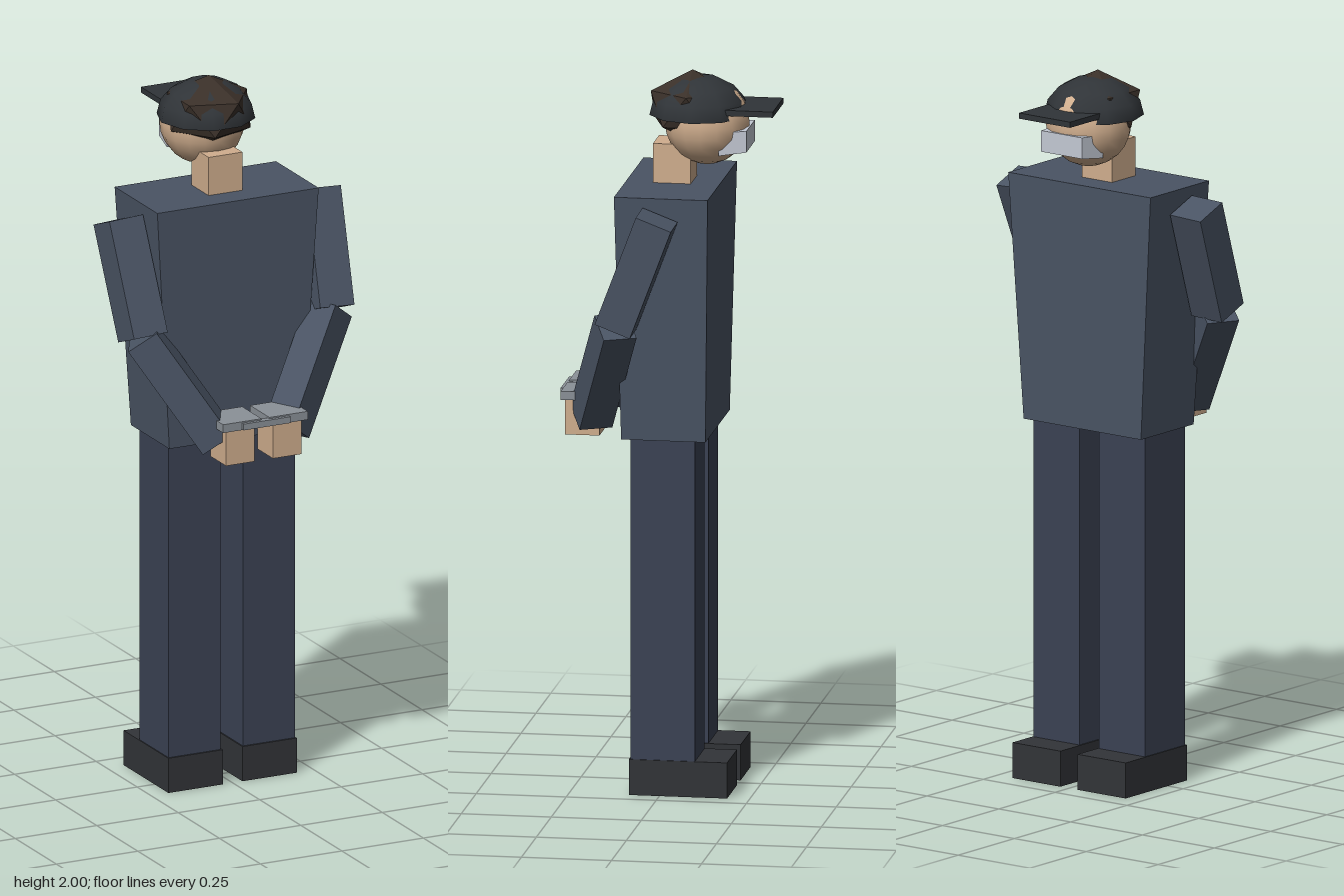
import * as THREE from 'three';

const mat = (color, flatShading = true) => new THREE.MeshStandardMaterial({ color, flatShading });
const JACKET = mat(0x4a5464), TROUSERS = mat(0x3b4254), SHOE = mat(0x323438), SKIN = mat(0xd0ae8e);
const SKIN_SMOOTH = mat(0xd0ae8e, false), CAP = mat(0x303438, false), BRIM = mat(0x303438);
const HAIR = mat(0x3a3029), STEEL = mat(0x8b9198), MASK = mat(0xc4c9d4);

export function createModel() {
  const model = new THREE.Group();
  model.name = 'standingMan';

  const add = (name, geometry, material, x = 0, y = 0, z = 0) => {
    const mesh = new THREE.Mesh(geometry, material);
    mesh.name = name;
    mesh.position.set(x, y, z);
    model.add(mesh);
    return mesh;
  };

  // Box given by its extents on each axis
  const block = (name, material, [x0, x1], [y0, y1], [z0, z1]) =>
    add(name, new THREE.BoxGeometry(x1 - x0, y1 - y0, z1 - z0), material,
      (x0 + x1) / 2, (y0 + y1) / 2, (z0 + z1) / 2);

  // Square beam from a to b, its width kept along the hint direction
  const limb = (name, a, b, size, hint) => {
    const up = a.clone().sub(b);
    const mesh = add(name, new THREE.BoxGeometry(size, up.length(), size), JACKET);
    up.normalize();
    const side = hint.clone().addScaledVector(up, -hint.dot(up)).normalize();
    mesh.quaternion.setFromRotationMatrix(
      new THREE.Matrix4().makeBasis(side, up, side.clone().cross(up)));
    mesh.position.copy(a).add(b).multiplyScalar(0.5);
  };

  // Torso, narrowing to the waist
  const torso = new THREE.BoxGeometry(0.495, 0.69, 0.26);
  const tp = torso.attributes.position;
  for (let i = 0; i < tp.count; i++) {
    if (tp.getY(i) < 0) tp.setXYZ(i, tp.getX(i) * 0.825, tp.getY(i), tp.getZ(i) * 0.9);
  }
  torso.computeVertexNormals();
  add('torso', torso, JACKET, 0, 1.345, -0.012);

  // Neck and head
  block('neck', SKIN, [-0.052, 0.052], [1.68, 1.8], [-0.063, 0.042]);
  add('head', new THREE.SphereGeometry(0.118, 16, 12), SKIN_SMOOTH, 0, 1.857, -0.1);

  // Hair: icosahedron standing on one corner, slightly flattened
  const hair = new THREE.IcosahedronGeometry(1, 0);
  const pole = new THREE.Vector3(0, 1, (1 + Math.sqrt(5)) / 2).normalize();
  hair.applyQuaternion(new THREE.Quaternion().setFromUnitVectors(pole, new THREE.Vector3(0, 1, 0)));
  // Turn so that one corner of the upper ring lies 18 degrees from the +z axis
  const hp = hair.attributes.position;
  let ring = 0;
  for (let i = 0; i < hp.count; i++) {
    if (Math.abs(hp.getY(i) - 0.447) < 0.05) ring = Math.atan2(hp.getX(i), hp.getZ(i));
  }
  hair.rotateY(Math.PI / 10 - ring);
  hair.scale(0.13, 0.1, 0.13);
  add('hair', hair, HAIR, 0, 1.9, -0.06);

  // Cap: ten-sided dome, underside and brim
  const dome = new THREE.SphereGeometry(1, 10, 4, 0, Math.PI * 2, 0, Math.PI / 2);
  dome.scale(0.137, 0.108, 0.137);
  add('capDome', dome, CAP, 0, 1.878, -0.077);
  const under = new THREE.CircleGeometry(0.137, 10);
  under.rotateX(Math.PI / 2);
  add('capUnderside', under, BRIM, 0, 1.878, -0.077);
  block('capBrim', BRIM, [-0.089, 0.089], [1.893, 1.909], [-0.297, -0.12]);

  // Face mask, tapering towards its front
  const mask = new THREE.BoxGeometry(0.17, 0.066, 0.075);
  const mp = mask.attributes.position;
  for (let i = 0; i < mp.count; i++) {
    if (mp.getZ(i) < 0) mp.setXYZ(i, mp.getX(i) * 0.84, mp.getY(i) * 0.9 + 0.006, mp.getZ(i));
  }
  mask.computeVertexNormals();
  add('faceMask', mask, MASK, 0, 1.812, -0.183);

  // Paired limbs, arms drawn together behind the back
  for (const s of [1, -1]) {
    const side = s > 0 ? 'left' : 'right';
    const span = (a, b) => (s > 0 ? [a, b] : [-b, -a]);
    block(side + 'Leg', TROUSERS, span(0.034, 0.194), [0.09, 1.01], [-0.098, 0.08]);
    block(side + 'Shoe', SHOE, span(0.03, 0.197), [0, 0.1], [-0.188, 0.085]);

    const shoulder = new THREE.Vector3(s * 0.303, 1.643, -0.01);
    const elbow = new THREE.Vector3(s * 0.286, 1.335, 0.107);
    const wrist = new THREE.Vector3(s * 0.106, 1.04, 0.204);
    limb(side + 'UpperArm', shoulder, elbow, 0.104, new THREE.Vector3(1, 0, 0));
    limb(side + 'Forearm', elbow, wrist, 0.095, new THREE.Vector3(0.476, 0, s * 0.88));

    block(side + 'Hand', SKIN, span(0.028, 0.116), [0.988, 1.092], [0.18, 0.275]);
    block(side + 'Cuff', STEEL, span(0.012, 0.13), [1.088, 1.112], [0.167, 0.285]);
  }

  // Bar joining the cuffs
  block('cuffLink', STEEL, [-0.072, 0.072], [1.09, 1.108], [0.275, 0.295]);

  return model;
}
